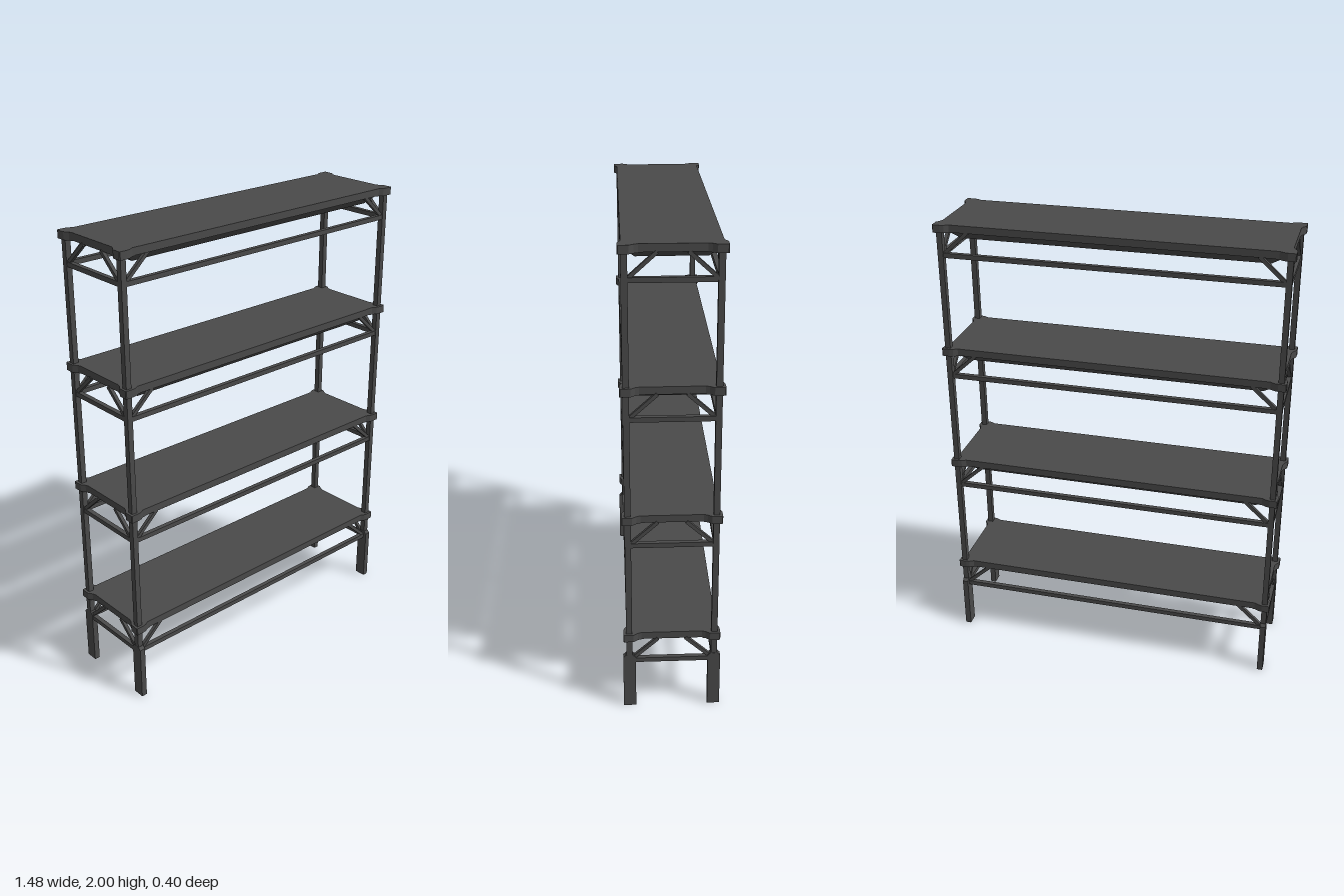
import * as THREE from 'three';

const steel = new THREE.MeshStandardMaterial({ color: 0x4a4a4a });
steel.name = 'dark grey steel';

const POST_X = 0.716, POST_Z = 0.176, POST = 0.025;
const SHELF_TOPS = [0.36, 0.908, 1.454, 2.0];
const DECK = 0.031, PAN = 0.037;
const UP = new THREE.Vector3(0, 1, 0);

function add(parent, name, geometry, x = 0, y = 0, z = 0) {
  const mesh = new THREE.Mesh(geometry, steel);
  mesh.name = name;
  mesh.position.set(x, y, z);
  parent.add(mesh);
  return mesh;
}

// flat outline in x/z, extruded upwards from y = 0
function plate(points, height) {
  const shape = new THREE.Shape(points.map(([x, z]) => new THREE.Vector2(x, -z)));
  const g = new THREE.ExtrudeGeometry(shape, { depth: height, bevelEnabled: false });
  return g.rotateX(-Math.PI / 2);
}

// square bar between two points, kept upright about its own axis
function bar(parent, name, a, b, size) {
  const from = new THREE.Vector3(...a), to = new THREE.Vector3(...b);
  const mesh = add(parent, name, new THREE.BoxGeometry(size, size, from.distanceTo(to)));
  mesh.quaternion.setFromRotationMatrix(new THREE.Matrix4().lookAt(to, from, UP));
  mesh.position.copy(from).add(to).multiplyScalar(0.5);
}

// shallow pan that narrows towards the bottom
function panGeometry() {
  const g = new THREE.BoxGeometry(2, PAN, 2);
  const p = g.attributes.position;
  for (let i = 0; i < p.count; i++) {
    const top = p.getY(i) > 0;
    p.setX(i, p.getX(i) * (top ? 0.69 : 0.638));
    p.setZ(i, p.getZ(i) * (top ? 0.167 : 0.136));
  }
  g.computeVertexNormals();
  return g;
}

// corner cap outline for one quadrant, flared out beyond the deck
const CAP = [[0.66, 0.125], [0.72, 0.125], [0.725, 0.14], [0.738, 0.158], [0.739, 0.197],
  [0.736, 0.2], [0.705, 0.2], [0.69, 0.197], [0.672, 0.187], [0.66, 0.187]];

function makeShelf(top) {
  const shelf = new THREE.Group();
  shelf.name = 'shelf';
  shelf.position.y = top;
  add(shelf, 'deck', new THREE.BoxGeometry(1.44, DECK, 0.374), 0, -DECK / 2, 0);
  add(shelf, 'pan', panGeometry(), 0, -DECK - PAN / 2, 0);

  // rails joining the posts below the deck
  const railY = -0.132;
  for (const s of [-1, 1]) {
    bar(shelf, 'longRail', [-POST_X, railY, s * POST_Z], [POST_X, railY, s * POST_Z], 0.02);
    bar(shelf, 'endRail', [s * POST_X, railY, -POST_Z], [s * POST_X, railY, POST_Z], 0.02);
  }

  for (const sx of [-1, 1]) for (const sz of [-1, 1]) {
    const cap = CAP.map(([x, z]) => [x * sx, z * sz]);
    add(shelf, 'cornerCap', plate(cap, DECK + 0.002), 0, -DECK - 0.002, 0);
    // diagonal braces along both sides of the corner
    const x = sx * POST_X, z = sz * POST_Z;
    bar(shelf, 'longBrace', [sx * 0.705, -0.128, z], [sx * 0.597, -0.03, z], 0.015);
    bar(shelf, 'endBrace', [x, -0.128, sz * 0.165], [x, -0.03, sz * 0.057], 0.015);
  }
  return shelf;
}

// flat foot with slightly clipped top corners
function footGeometry() {
  const w = 0.026, h = 0.255, c = 0.012;
  const s = new THREE.Shape([[-w, 0], [w, 0], [w, h - c], [w - c, h], [-w + c, h], [-w, h - c]]
    .map(([x, y]) => new THREE.Vector2(x, y)));
  const g = new THREE.ExtrudeGeometry(s, { depth: POST, bevelEnabled: false });
  return g.translate(0, 0, -POST / 2).rotateY(Math.PI / 2);
}

export function createModel() {
  const model = new THREE.Group();
  model.name = 'shelvingRack';
  for (const top of SHELF_TOPS) model.add(makeShelf(top));

  const postBottom = 0.2, postTop = 1.99;
  for (const sx of [-1, 1]) for (const sz of [-1, 1]) {
    add(model, 'post', new THREE.BoxGeometry(POST - 0.001, postTop - postBottom, POST),
      sx * POST_X, (postTop + postBottom) / 2, sz * POST_Z);
    add(model, 'foot', footGeometry(), sx * POST_X, 0, sz * 0.176);
  }
  return model;
}
